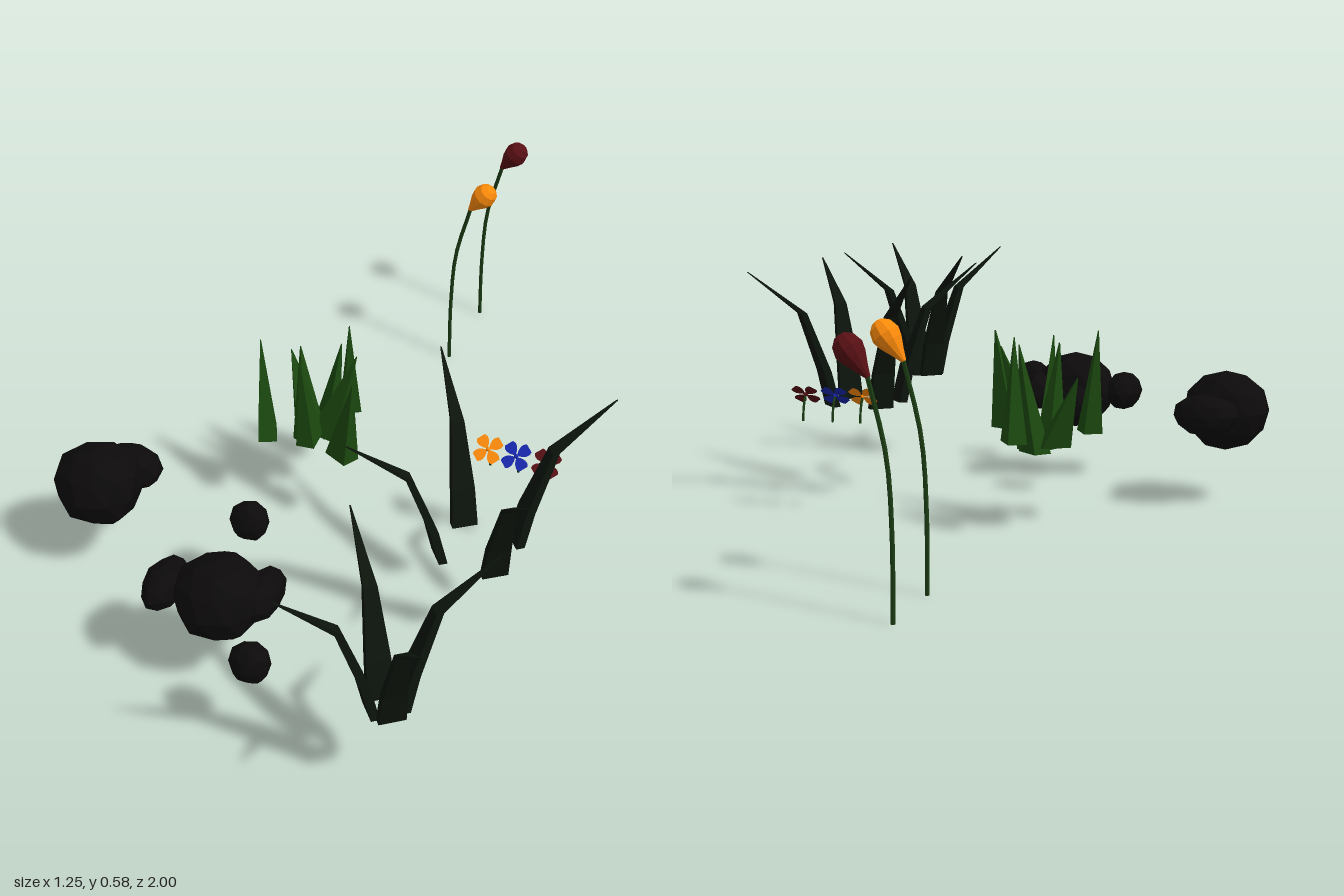
import * as THREE from 'three';

const paint = (color) => new THREE.MeshStandardMaterial({ color, flatShading: true, side: THREE.DoubleSide });
const rockMat = paint(0x0c0a0a);
const reedMat = paint(0x0c140c);
const grassMat = paint(0x1c4a10);
const stemMat = paint(0x1a3a12);
const orange = paint(0xff8c0a);
const darkRed = paint(0x581014);
const blue = paint(0x1828b0);

function add(parent, name, geometry, material) {
  const mesh = new THREE.Mesh(geometry, material);
  mesh.name = name;
  parent.add(mesh);
  return mesh;
}

// Unit rock: a faceted ball with slightly uneven corners
function rockGeometry() {
  const g = new THREE.IcosahedronGeometry(1, 1).rotateZ(-Math.atan(2 / (1 + Math.sqrt(5))));
  const p = g.attributes.position, v = new THREE.Vector3();
  for (let i = 0; i < p.count; i++) {
    v.fromBufferAttribute(p, i);
    v.multiplyScalar(1 + 0.05 * Math.sin(5 * v.x + 7 * v.z) * Math.cos(4 * v.y + 3 * v.x));
    p.setXYZ(i, v.x, v.y, v.z);
  }
  g.computeVertexNormals();
  return g;
}

// Rectangular sections [x, y, z, width, depth] joined into a closed blade;
// ax, az is the horizontal direction of the depth.
function bladeGeometry(sections, ax, az) {
  const pos = [], index = [];
  for (const [x, y, z, w, d] of sections) {
    for (const [i, j] of [[-1, -1], [1, -1], [1, 1], [-1, 1]]) {
      pos.push(x + (i * w * az + j * d * ax) / 2, y, z + (-i * w * ax + j * d * az) / 2);
    }
  }
  for (let s = 0; s < sections.length - 1; s++) {
    for (let k = 0; k < 4; k++) {
      const a = s * 4 + k, b = s * 4 + (k + 1) % 4;
      index.push(a, a + 4, b, b, a + 4, b + 4);
    }
  }
  const e = (sections.length - 1) * 4;
  index.push(0, 1, 2, 0, 2, 3, e, e + 2, e + 1, e, e + 3, e + 2);
  const g = new THREE.BufferGeometry();
  g.setAttribute('position', new THREE.Float32BufferAttribute(pos, 3));
  g.setIndex(index);
  g.computeVertexNormals();
  return g;
}

// Tall bent blade that arches outward from its base to its tip
function reedBlade(parent, bx, bz, tx, tz) {
  const dx = tx - bx, dz = tz - bz, len = Math.hypot(dx, dz);
  const at = (t, y, w, d) => [bx + dx * t, y, bz + dz * t, w, d];
  add(parent, 'reedBlade', bladeGeometry([
    at(0, 0.23, 0.06, 0.02),
    at(0.1, 0.32, 0.054, 0.02),
    at(0.36, 0.47, 0.03, 0.016),
    at(1, 0.578, 0.003, 0.003),
  ], dx / len, dz / len), reedMat);
}

// Short grass spike with a rectangular foot and a leaning tip
function grassSpike(parent, [x, y, z], yaw, tip, w, d) {
  add(parent, 'grassSpike', bladeGeometry([
    [x, y, z, w, d],
    [...tip, 0.002, 0.002],
  ], Math.sin(yaw), Math.cos(yaw)), grassMat);
}

// Tall bud on a curved stem
function budFlower(parent, z, material) {
  const flower = new THREE.Group();
  flower.name = 'budFlower';
  flower.position.z = z;
  const path = new THREE.CatmullRomCurve3([
    [-0.073, 0, 0], [-0.072, 0.17, 0.002], [-0.06, 0.33, 0.006], [-0.018, 0.49, 0.017],
  ].map((p) => new THREE.Vector3(...p)));
  add(flower, 'stem', new THREE.TubeGeometry(path, 10, 0.005, 6), stemMat);
  const profile = [[0.005, 0], [0.014, 0.022], [0.026, 0.048], [0.031, 0.067], [0.025, 0.088], [0.013, 0.099], [0, 0.102]];
  const bud = add(flower, 'bud', new THREE.LatheGeometry(profile.map((p) => new THREE.Vector2(...p)), 10), material);
  bud.position.set(-0.022, 0.483, 0.015);
  bud.quaternion.setFromUnitVectors(new THREE.Vector3(0, 1, 0), new THREE.Vector3(0.6, 0.78, 0.08).normalize());
  parent.add(flower);
}

// Small four-petalled flower tilted toward the front
function smallFlower(parent, x, material) {
  const flower = new THREE.Group();
  flower.name = 'smallFlower';
  flower.position.set(x, 0.292, -0.031);
  const petal = new THREE.Shape();
  petal.moveTo(0, 0.002);
  petal.quadraticCurveTo(0.022, 0.022, 0.011, 0.036);
  petal.lineTo(-0.011, 0.036);
  petal.quadraticCurveTo(-0.022, 0.022, 0, 0.002);
  const bloom = new THREE.Group();
  bloom.name = 'bloom';
  bloom.rotation.x = -Math.PI / 4;
  for (let i = 0; i < 4; i++) {
    const p = add(bloom, 'petal', new THREE.ShapeGeometry(petal, 4), material);
    p.rotation.z = Math.PI / 4 + i * Math.PI / 2;
  }
  add(bloom, 'flowerCentre', new THREE.IcosahedronGeometry(0.006, 0), material);
  flower.add(bloom);
  const path = new THREE.QuadraticBezierCurve3(
    new THREE.Vector3(0, 0, 0), new THREE.Vector3(0, -0.015, -0.018), new THREE.Vector3(0, -0.062, -0.022));
  add(flower, 'stem', new THREE.TubeGeometry(path, 4, 0.003, 5), stemMat);
  parent.add(flower);
}

export function createModel() {
  const model = new THREE.Group();
  model.name = 'gardenPlantsAndRocks';

  // Rocks: x, z and radii
  const rocks = new THREE.Group();
  rocks.name = 'rocks';
  const rockGeo = rockGeometry();
  for (const [x, z, rx, ry, rz] of [
    [-0.522, 0.37, 0.107, 0.1, 0.104], [-0.485, 0.282, 0.083, 0.052, 0.058],
    [-0.083, 0.622, 0.103, 0.1, 0.105], [-0.212, 0.63, 0.046, 0.05, 0.081],
    [0.002, 0.58, 0.046, 0.05, 0.081],
    [0.072, 0.79, 0.047, 0.05, 0.042], [-0.135, 0.36, 0.047, 0.05, 0.042],
  ]) {
    const rock = add(rocks, 'rock', rockGeo, rockMat);
    rock.position.set(x, 0.23, z);
    rock.scale.set(rx, ry, rz);
  }
  model.add(rocks);

  // Reeds: base x, z and tip x, z
  const reeds = new THREE.Group();
  reeds.name = 'reeds';
  for (const blade of [
    [0.365, 0.778, 0.23, 0.62], [0.415, 0.782, 0.572, 0.65],
    [0.365, 0.826, 0.21, 0.957], [0.412, 0.832, 0.54, 0.992],
    [0.322, 0.18, 0.19, 0.008], [0.452, 0.19, 0.622, 0.05],
    [0.312, 0.308, 0.143, 0.44], [0.447, 0.32, 0.578, 0.487],
  ]) reedBlade(reeds, ...blade);
  model.add(reeds);

  // Grass: foot, yaw and tip of each spike, three of them standing apart
  const grass = new THREE.Group();
  grass.name = 'grass';
  for (const [foot, yaw, tip] of [
    [[-0.247, 0.22, 0.028], 0.45, [-0.273, 0.467, -0.004]],
    [[-0.045, 0.22, 0.04], 1.1, [-0.005, 0.452, 0.066]],
    [[-0.108, 0.22, -0.162], 0.5, [-0.105, 0.463, -0.147]],
    [[-0.185, 0.2, -0.085], -1.0, [-0.25, 0.37, -0.125]],
    [[-0.165, 0.19, -0.04], -0.4, [-0.19, 0.442, -0.05]],
    [[-0.155, 0.2, -0.015], 0.1, [-0.16, 0.45, 0.02]],
    [[-0.135, 0.19, -0.065], 1.4, [-0.055, 0.432, -0.075]],
    [[-0.14, 0.185, -0.085], 0.8, [-0.105, 0.44, -0.1]],
  ]) grassSpike(grass, foot, yaw, tip, 0.045, 0.07);
  model.add(grass);

  // Flowers
  const flowers = new THREE.Group();
  flowers.name = 'flowers';
  budFlower(flowers, -0.756, orange);
  budFlower(flowers, -0.994, darkRed);
  [[0.3, orange], [0.37, blue], [0.445, darkRed]].forEach(([x, m]) => smallFlower(flowers, x, m));
  model.add(flowers);

  return model;
}
